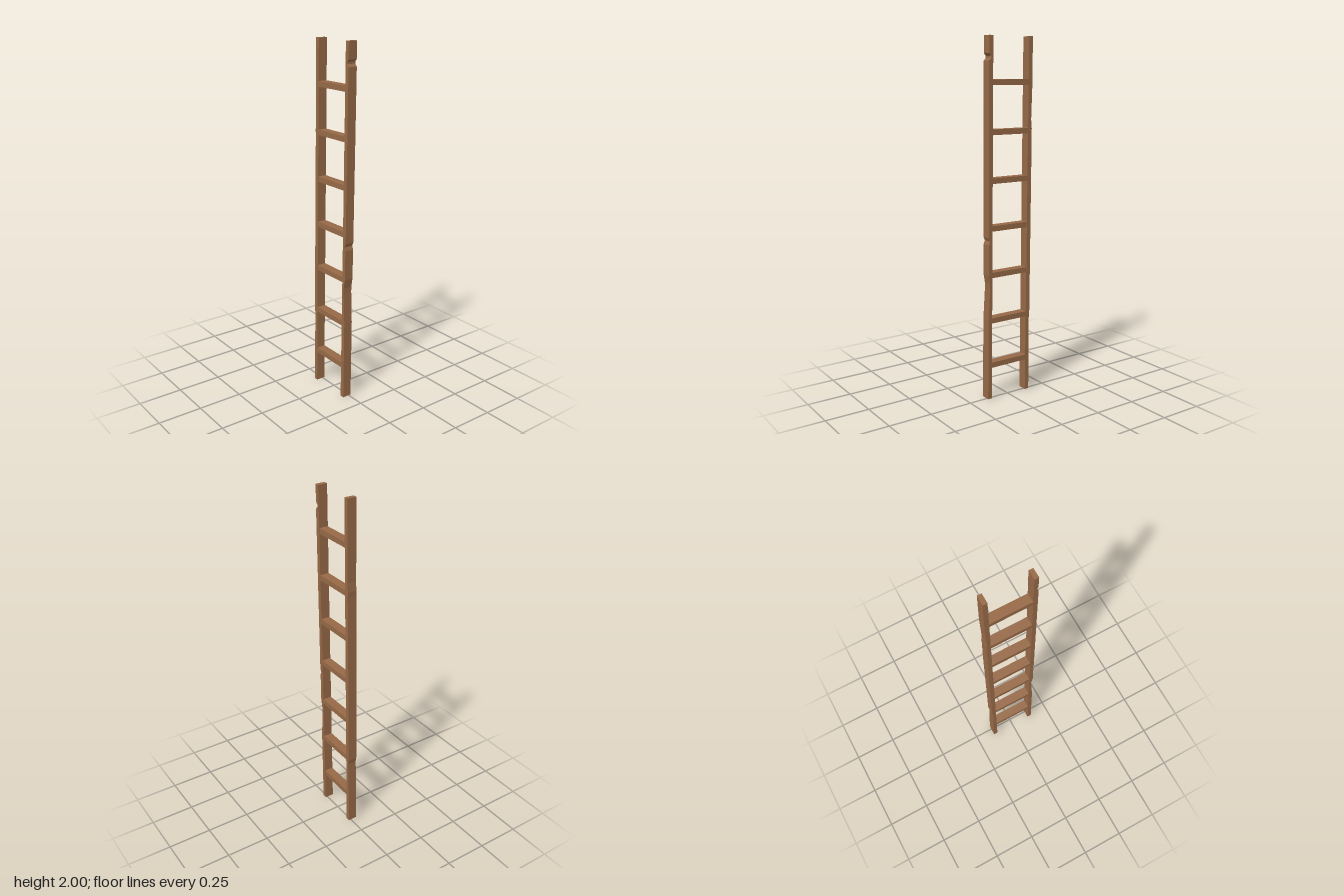
import * as THREE from 'three';

const wood = new THREE.MeshStandardMaterial({ color: 0x966947, flatShading: true });
const INNER = 0.115, OUTER = 0.14, DEPTH = 0.053, HEIGHT = 2;

// Lean everything slightly backwards: z shifts with height
function lean(geometry) {
  const p = geometry.attributes.position;
  for (let i = 0; i < p.count; i++) {
    p.setZ(i, p.getZ(i) + 0.0135 * (1 - p.getY(i)));
  }
  geometry.computeVertexNormals();
  return geometry;
}

function part(name, geometry) {
  const mesh = new THREE.Mesh(lean(geometry), wood);
  mesh.name = name;
  return mesh;
}

// Upright with chips cut into its outer edge; chips are [outer x, y] going up
function rail(name, side, chips) {
  const outline = [[INNER, 0], [OUTER, 0], ...chips, [OUTER - 0.001, HEIGHT], [INNER, HEIGHT]];
  const shape = new THREE.Shape(outline.map(([x, y]) => new THREE.Vector2(side * x, y)));
  const geometry = new THREE.ExtrudeGeometry(shape, { depth: DEPTH, bevelEnabled: false });
  geometry.translate(0, 0, -DEPTH / 2);
  return part(name, geometry);
}

export function createModel() {
  const ladder = new THREE.Group();
  ladder.name = 'ladder';

  // Worn uprights
  ladder.add(rail('leftRail', 1, [
    [0.139, 0.46], [0.129, 0.64], [0.129, 0.67], [0.138, 0.72],
    [0.138, 0.89], [0.130, 0.91], [0.139, 0.93],
    [0.140, 1.87], [0.127, 1.885], [0.127, 1.895], [0.138, 1.908],
  ]));
  ladder.add(rail('rightRail', -1, [
    [0.140, 0.20], [0.134, 0.42], [0.140, 0.45],
    [0.140, 1.30], [0.138, 1.48], [0.140, 1.51], [0.135, 1.56], [0.140, 1.75],
  ]));

  // Seven flat rungs
  for (let i = 0; i < 7; i++) {
    const rung = new THREE.BoxGeometry(2 * INNER + 0.004, 0.03, 0.051);
    rung.translate(0, 0.197 + i * 0.2605, 0);
    ladder.add(part('rung' + (i + 1), rung));
  }
  return ladder;
}
